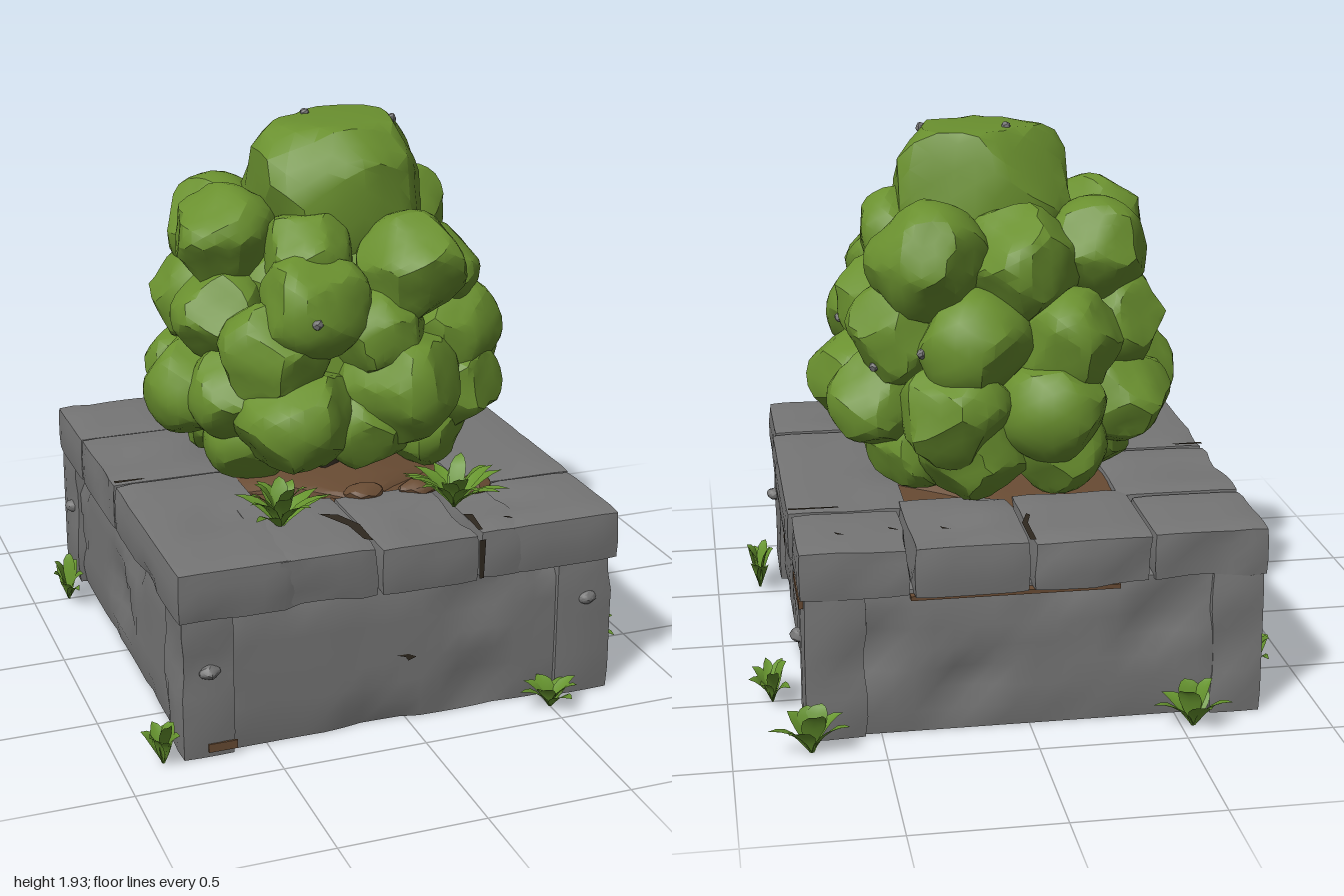
import * as THREE from 'three';
import { toCreasedNormals } from 'three/addons/utils/BufferGeometryUtils.js';

const mat = (name, color, side = THREE.FrontSide) => {
  const m = new THREE.MeshStandardMaterial({ color, side });
  m.name = name;
  return m;
};

// small seeded random
function seeded(seed) {
  let s = seed * 7919 + 13;
  return () => {
    s = (s * 16807) % 2147483647;
    return s / 2147483647;
  };
}

const wave = (x, y, z, k) =>
  Math.sin(x * 9.1 + k * 1.7 + Math.sin(z * 7.3 + k)) * Math.sin(y * 11.3 + k * 2.3 + x * 4) * Math.sin(z * 8.7 + k * 0.9 + y * 5);

function reshape(geo, rule) {
  const p = geo.attributes.position, v = new THREE.Vector3();
  for (let i = 0; i < p.count; i++) {
    v.fromBufferAttribute(p, i);
    rule(v);
    p.setXYZ(i, v.x, v.y, v.z);
  }
  return geo;
}

// worn stone block between two corners
function stoneGeometry(x0, x1, y0, y1, z0, z1, seed, r = 0.03) {
  const size = [x1 - x0, y1 - y0, z1 - z0];
  const seg = size.map((s) => Math.max(3, Math.round(s / 0.07)));
  const h = new THREE.Vector3(...size).multiplyScalar(0.5);
  const c = new THREE.Vector3(x0 + x1, y0 + y1, z0 + z1).multiplyScalar(0.5);
  const inner = h.clone().subScalar(r), q = new THREE.Vector3();
  const geo = reshape(new THREE.BoxGeometry(...size, ...seg), (v) => {
    const onGround = v.y + c.y < 0.001;
    q.copy(v).clamp(inner.clone().negate(), inner);
    const d = v.clone().sub(q);
    if (d.length() > r) d.setLength(r);
    const n = wave(v.x + c.x, v.y + c.y, v.z + c.z, seed);
    d.multiplyScalar(1 - Math.min(0.8, 1.4 * Math.max(0, n - 0.1)) + 0.1 * n);
    v.copy(q).add(d).add(c);
    if (onGround) v.y = 0;
  });
  return toCreasedNormals(geo, 0.7);
}

// hewn clump: a ball cut by random planes
function clumpGeometry(rx, ry, rz, seed, detail = 4) {
  const rnd = seeded(seed);
  const cuts = Array.from({ length: 13 }, () =>
    new THREE.Vector3(rnd() - 0.5, rnd() - 0.5, rnd() - 0.5).normalize());
  const geo = reshape(new THREE.IcosahedronGeometry(1.06, detail), (v) => {
    for (const c of cuts) {
      const over = v.dot(c) - 0.86;
      if (over > 0) v.addScaledVector(c, -over);
    }
    v.multiplyScalar(1 + 0.04 * wave(v.x * 0.4, v.y * 0.4, v.z * 0.4, seed));
    v.set(v.x * rx, v.y * ry, v.z * rz);
  });
  return toCreasedNormals(geo, 0.45);
}

// arched leaf blade growing from the origin towards -z
function leafGeometry(width, reach, rise) {
  const geo = reshape(new THREE.PlaneGeometry(1, 1, 2, 5), (v) => {
    const t = v.y + 0.5, side = v.x * 2;
    const w = width * 0.5 * Math.sin(Math.PI * (0.06 + 0.94 * t));
    v.set(side * w, rise * (1.9 * t - 0.9 * t * t) + Math.abs(side) * w * 0.2, -reach * t * (0.75 + 0.25 * t));
  });
  geo.computeVertexNormals();
  return geo;
}

export function createModel() {
  const model = new THREE.Group();
  model.name = 'stonePlanterWithBush';
  const stone = mat('stone grey', 0x767676);
  const foliage = mat('bush green', 0x6a902f);
  const grass = mat('grass green', 0x66942e, THREE.DoubleSide);
  const soil = mat('soil brown', 0x684b33, THREE.DoubleSide);
  const dark = mat('dark crack', 0x2f281f, THREE.DoubleSide);

  const add = (name, geo, material, parent = model) => {
    const m = new THREE.Mesh(geo, material);
    m.name = name;
    parent.add(m);
    return m;
  };
  const box = (name, x0, x1, y0, y1, z0, z1, material) =>
    add(name, new THREE.BoxGeometry(x1 - x0, y1 - y0, z1 - z0), material)
      .position.set((x0 + x1) / 2, (y0 + y1) / 2, (z0 + z1) / 2);

  // planter body and corner pillars
  add('planterBody', stoneGeometry(-0.775, 0.735, 0, 0.52, -0.815, 0.83, 1, 0.04), stone);
  let seed = 2;
  for (const [x0, x1] of [[-0.8, -0.61], [0.54, 0.757]])
    for (const [z0, z1] of [[-0.835, -0.62], [0.62, 0.85]])
      add('cornerPillar', stoneGeometry(x0, x1, 0, 0.52, z0, z1, seed++, 0.022), stone);

  // chips standing out of the pillars
  for (const [x, y, z] of [[-0.7, 0.31, 0.843], [0.66, 0.36, 0.84], [0.755, 0.33, 0.72], [0.755, 0.33, -0.7], [-0.785, 0.3, -0.7]])
    add('stoneChip', clumpGeometry(0.035, 0.025, 0.03, seed++, 2), stone).position.set(x, y, z);

  // cap stones round the opening: x0, x1, z0, z1
  const caps = [
    [-0.81, -0.41, -0.84, -0.45], [-0.41, 0, -0.865, -0.38], [0.003, 0.395, -0.865, -0.38], [0.395, 0.77, -0.84, -0.453],
    [-0.81, -0.37, -0.45, 0.04], [-0.81, -0.37, 0.04, 0.865],
    [0.36, 0.78, -0.447, 0.45], [0.36, 0.77, 0.45, 0.86],
    [-0.47, -0.115, 0.39, 0.87], [-0.115, 0.24, 0.39, 0.875], [0.245, 0.43, 0.39, 0.86],
  ];
  caps.forEach(([x0, x1, z0, z1], i) =>
    add('capStone', stoneGeometry(x0, x1, 0.49, 0.668 + (i % 3) * 0.004, z0, z1, 10 + i, 0.022), stone));

  // soil: bed, mound, lumps, and what shows between the stones
  box('soilBed', -0.4, 0.4, 0.5, 0.645, -0.42, 0.42, soil);
  add('soilMound', clumpGeometry(0.4, 0.09, 0.43, 77), soil).position.set(0, 0.63, 0);
  for (const [x, z] of [[0, 0.4], [0.2, 0.42], [0.39, 0.47]])
    add('soilLump', clumpGeometry(0.07, 0.035, 0.05, seed++, 2), soil).position.set(x, 0.67, z);
  box('soilStripSide', 0.65, 0.765, 0.465, 0.492, -0.81, -0.54, soil);
  box('soilStripBack', -0.3, 0.4, 0.48, 0.495, -0.835, -0.75, soil);
  box('soilPatchFront', -0.71, -0.61, 0.02, 0.05, 0.845, 0.852, soil);

  // trunk
  add('trunk', new THREE.CylinderGeometry(0.1, 0.16, 0.4, 8), dark).position.set(-0.07, 0.8, 0.06);

  // cracks as thin plates
  const plate = (pts, place, material = dark) => {
    const s = new THREE.Shape(pts.map(([a, b]) => new THREE.Vector2(a, b)));
    place(add('crack', new THREE.ShapeGeometry(s), material));
  };
  const flat = (m) => { m.rotation.x = Math.PI / 2; m.position.y = 0.68; };
  const onRight = (x) => (m) => { m.rotation.y = Math.PI / 2; m.position.x = x; };
  const onFront = (z) => (m) => { m.position.z = z; };
  plate([[-0.22, 0.55], [-0.16, 0.58], [-0.12, 0.68], [-0.125, 0.82], [-0.15, 0.8], [-0.16, 0.68]], flat);
  plate([[-0.01, -0.86], [0.01, -0.86], [0.01, -0.7], [-0.02, -0.61], [-0.03, -0.63], [-0.01, -0.7]], flat);
  plate([[0.24, 0.72], [0.27, 0.73], [0.25, 0.86], [0.235, 0.86]], flat);
  plate([[-0.8, 0.03], [-0.7, 0.035], [-0.69, 0.045], [-0.8, 0.05]], flat);
  plate([[0.6, -0.455], [0.77, -0.455], [0.77, -0.44], [0.6, -0.445]], flat);
  for (const [x, z] of [[0.25, -0.72], [0.42, -0.7], [0.6, -0.72], [0.35, 0.78]])
    plate([[x, z], [x + 0.03, z + 0.01], [x + 0.035, z + 0.03]], flat);
  plate([[0.02, 0.25], [0.1, 0.225], [0.19, 0.22], [0.2, 0.2], [0.09, 0.21], [0.02, 0.24]], onRight(0.738));
  plate([[0.27, 0.15], [0.3, 0.14], [0.3, 0.09], [0.28, 0.1]], onRight(0.738));
  plate([[-0.43, 0.47], [-0.425, 0.47], [-0.48, 0.27], [-0.52, 0.17], [-0.53, 0.18]], onRight(0.738));
  plate([[-0.56, 0.29], [-0.5, 0.25], [-0.5, 0.21], [-0.54, 0.24]], onRight(0.74), soil);
  plate([[0.435, 0.51], [0.45, 0.51], [0.455, 0.65], [0.435, 0.65]], onRight(0.784));
  plate([[0.235, 0.51], [0.25, 0.51], [0.255, 0.65], [0.23, 0.65]], onFront(0.878));
  plate([[-0.04, 0.25], [0, 0.25], [0.03, 0.235], [0, 0.225], [-0.01, 0.24]], onFront(0.834));

  // bush core and blocky top
  const bush = new THREE.Group();
  bush.name = 'bush';
  model.add(bush);
  add('bushCore', clumpGeometry(0.4, 0.5, 0.4, 5), foliage, bush).position.set(0, 1.22, -0.03);
  const top = reshape(clumpGeometry(0.335, 0.36, 0.335, 31), (v) => {
    v.set(THREE.MathUtils.clamp(v.x, -0.3, 0.3), Math.min(v.y, 0.235 + v.y * 0.05), THREE.MathUtils.clamp(v.z, -0.3, 0.3));
  });
  add('bushTop', toCreasedNormals(top, 0.45), foliage, bush).position.set(0.05, 1.66, -0.01);

  // bush clumps: x, y, z, radius
  const clumps = [
    [0.2, 1.46, 0.35, 0.18], [-0.17, 1.36, 0.36, 0.18], [-0.14, 1.5, 0.23, 0.16], [-0.38, 1.53, 0.03, 0.18],
    [-0.32, 1.5, -0.26, 0.18], [-0.05, 1.48, -0.34, 0.2], [0.28, 1.5, -0.37, 0.2], [0.33, 1.54, -0.08, 0.16], [0.32, 1.4, 0.18, 0.17],
    [0.4, 1.28, -0.02, 0.17], [0.38, 1.18, 0.23, 0.18], [0.07, 1.25, 0.36, 0.16], [-0.28, 1.18, 0.3, 0.19], [-0.4, 1.27, 0.08, 0.17],
    [-0.39, 1.25, -0.22, 0.18], [-0.2, 1.22, -0.4, 0.18], [0.13, 1.22, -0.41, 0.19], [0.36, 1.25, -0.3, 0.18],
    [0.15, 1.05, 0.37, 0.2], [-0.23, 0.96, 0.36, 0.2], [-0.48, 1.0, 0.02, 0.18], [-0.4, 0.98, -0.28, 0.18], [-0.15, 1.0, -0.43, 0.19],
    [0.2, 1.0, -0.44, 0.19], [0.42, 1.0, -0.25, 0.18], [0.47, 1.02, 0.01, 0.18], [0.38, 0.99, 0.24, 0.18], [-0.38, 1.02, 0.2, 0.17],
    [-0.32, 0.83, 0.12, 0.16], [-0.32, 0.84, -0.14, 0.17], [-0.16, 0.85, -0.37, 0.17], [0.12, 0.85, -0.39, 0.18],
    [0.3, 0.84, -0.22, 0.17], [0.32, 0.82, 0.03, 0.16], [0.3, 0.83, 0.2, 0.16], [0.04, 0.9, 0.32, 0.16],
  ];
  clumps.forEach(([x, y, z, r], i) =>
    add('leafClump', clumpGeometry(r * 1.04, r, r * 1.04, 20 + i), foliage, bush).position.set(x, y, z));

  // pebbles caught on the foliage surface: start point and direction inwards
  bush.updateMatrixWorld(true);
  const finds = [
    [[-0.22, 1.35, 2], [0, 0, -1]], [[2, 1.22, 0.03], [-1, 0, 0]], [[2, 1.15, -0.38], [-1, 0, 0]],
    [[2, 1.22, -0.5], [-1, 0, 0]], [[0.25, 3, 0], [0, -1, 0]], [[-0.03, 3, -0.12], [0, -1, 0]],
  ];
  for (const [from, dir] of finds) {
    const hit = new THREE.Raycaster(new THREE.Vector3(...from), new THREE.Vector3(...dir)).intersectObject(bush)[0];
    if (hit) add('pebble', clumpGeometry(0.018, 0.018, 0.018, seed++, 1), stone).position.copy(hit.point);
  }

  // leafy tufts: x, y, z, facing, blades, width, reach, rise, depth scale
  const h = Math.PI / 2;
  const tufts = [
    [-0.54, 0, -0.91, Math.PI, 8, 0.085, 0.16, 0.17, 0.6], [0.74, 0, -0.91, Math.PI, 8, 0.085, 0.16, 0.17, 0.6],
    [-0.865, 0, -0.5, -h, 8, 0.085, 0.16, 0.17, 0.5], [0.845, 0, -0.5, h, 8, 0.085, 0.17, 0.17, 0.5],
    [0.835, 0, 0.56, h, 8, 0.09, 0.17, 0.2, 0.5], [-0.86, 0, 0.83, -h, 8, 0.085, 0.12, 0.17, 0.6],
    [0.5, 0, 0.91, 0, 8, 0.07, 0.14, 0.13, 0.7],
    [-0.37, 0.665, 0.59, 0, 16, 0.06, 0.2, 0.17, 0.85], [0.25, 0.665, 0.62, 0.3, 16, 0.06, 0.21, 0.18, 0.95],
  ];
  tufts.forEach(([x, y, z, facing, count, width, reach, rise, depth], k) => {
    const tuft = new THREE.Group(), rnd = seeded(k + 3);
    tuft.name = 'grassTuft';
    tuft.position.set(x, y, z);
    tuft.rotation.y = facing;
    tuft.scale.z = depth;
    for (let i = 0; i < count; i++) {
      const out = 0.4 + 0.6 * rnd();
      const leaf = add('leaf', leafGeometry(width, reach * out, rise * (1.3 - out * 0.8)), grass, tuft);
      leaf.rotation.y = (i / count) * Math.PI * 2 + rnd() * 0.4;
    }
    model.add(tuft);
  });
  return model;
}
